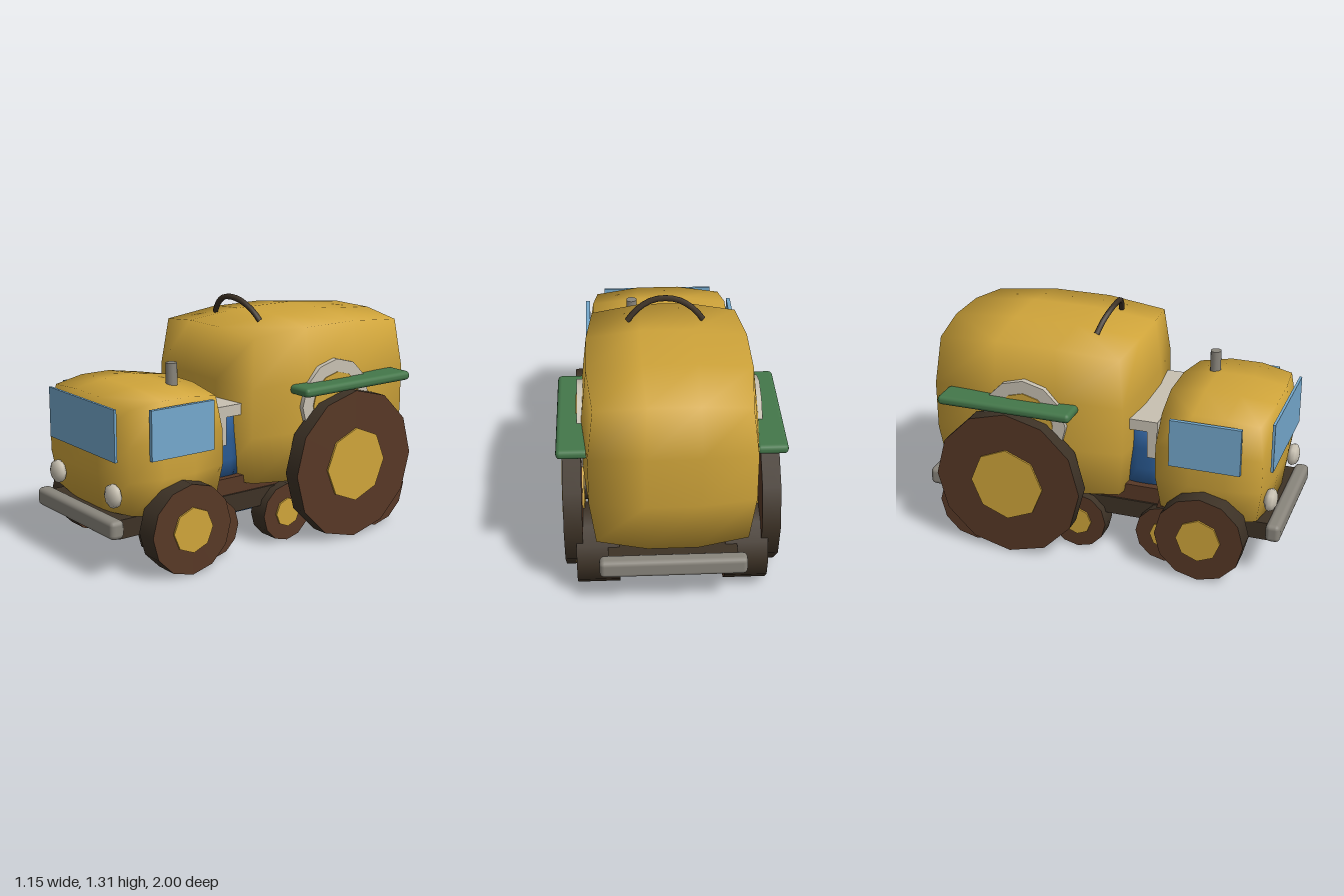
import * as THREE from 'three';
import { mergeVertices } from 'three/addons/utils/BufferGeometryUtils.js';
import { RoundedBoxGeometry } from 'three/addons/geometries/RoundedBoxGeometry.js';

const material = (name, color, side = THREE.FrontSide) => {
  const m = new THREE.MeshStandardMaterial({ color, side });
  m.name = name;
  return m;
};

// Box whose faces swell outward, with smooth normals
function swollenBox(hx, hy, hz, swell) {
  let g = new THREE.BoxGeometry(2, 2, 2, 3, 3, 3);
  g.deleteAttribute('normal');
  g.deleteAttribute('uv');
  g = mergeVertices(g);
  const p = g.attributes.position;
  for (let i = 0; i < p.count; i++) {
    const u = p.getX(i), v = p.getY(i), w = p.getZ(i);
    const push = (a, h, b, c) => a * (h + swell * (2 - b * b - c * c) / 2);
    p.setXYZ(i, push(u, hx, v, w), push(v, hy, u, w), push(w, hz, u, v));
  }
  g.computeVertexNormals();
  return g;
}

export function createModel() {
  const gold = material('gold paint', 0xcfa43a);
  const glass = material('window blue', 0x74a8cc);
  const navy = material('deep blue', 0x2a5a92);
  const brown = material('tyre brown', 0x573826);
  const dark = material('dark rubber', 0x3d3226);
  const cream = material('cream', 0xc8c1b2);
  const grey = material('bumper grey', 0x89857c);
  const green = material('fender green', 0x44774a);

  const model = new THREE.Group();
  const add = (name, geometry, mat, x = 0, y = 0, z = 0, parent = model) => {
    const mesh = new THREE.Mesh(geometry, mat);
    mesh.name = name;
    mesh.position.set(x, y, z);
    parent.add(mesh);
    return mesh;
  };
  const box = (w, h, d) => new THREE.BoxGeometry(w, h, d);
  // Cylinder lying along x
  const disc = (r, width, sides) => new THREE.CylinderGeometry(r, r, width, sides).rotateZ(Math.PI / 2);

  // Bodies
  add('tank', swollenBox(0.387, 0.388, 0.5, 0.07), gold, 0, 0.753, -0.373);
  add('cab', swollenBox(0.36, 0.272, 0.26, 0.058), gold, 0, 0.6, 0.612);

  // Undercarriage
  add('chassis', box(0.66, 0.1, 1.86), dark, 0, 0.26, 0);
  add('deck', box(0.64, 0.1, 0.85), brown, 0, 0.35, -0.05);
  add('underPlate', box(0.51, 0.04, 1.55), navy, 0, 0.195, -0.07);

  // Block and bracket between the bodies
  add('engineBlock', swollenBox(0.27, 0.17, 0.09, 0.02), navy, 0, 0.55, 0.23);
  add('bracketTop', box(0.67, 0.06, 0.155), cream, 0, 0.768, 0.243);
  add('bracketLeg', box(0.67, 0.21, 0.05), cream, 0, 0.693, 0.29);

  // Windows
  add('windscreen', box(0.635, 0.27, 0.014), glass, 0, 0.74, 0.931);

  // Bumpers
  for (const s of [1, -1])
    add(s > 0 ? 'frontBumper' : 'rearBumper', new RoundedBoxGeometry(0.75, 0.098, 0.078, 2, 0.025), grey, 0, 0.273, s * 0.961);

  // Exhaust
  add('exhaust', new THREE.CylinderGeometry(0.03, 0.03, 0.2, 10), grey, 0.165, 0.93, 0.49);

  // Carrying handle
  const arc = [[-0.2, 1.19, -0.062], [-0.15, 1.245, -0.045], [-0.06, 1.292, -0.025],
    [0.06, 1.292, -0.025], [0.15, 1.245, -0.045], [0.2, 1.19, -0.062]].map(a => new THREE.Vector3(...a));
  add('handle', new THREE.TubeGeometry(new THREE.CatmullRomCurve3(arc), 12, 0.016, 6), dark);

  // Wheels: name, z, radius, hub radius, inner x, outer x
  const wheels = [
    ['frontWheel', 0.6, 0.24, 0.12, 0.375, 0.5],
    ['innerFrontWheel', 0.55, 0.24, 0.115, 0.265, 0.36],
    ['secondWheel', 0.38, 0.162, 0.08, 0.265, 0.378],
    ['middleWheel', -0.115, 0.16, 0.08, 0.265, 0.38],
    ['innerRearWheel', -0.67, 0.21, 0.105, 0.27, 0.49],
    ['rearWheel', -0.45, 0.41, 0.204, 0.455, 0.55],
  ];
  for (const s of [1, -1]) {
    const side = s > 0 ? 'left' : 'right';
    for (const [name, z, r, hub, x0, x1] of wheels) {
      const wheel = new THREE.Group();
      wheel.name = `${side} ${name}`;
      wheel.position.set(s * (x0 + x1) / 2, r, z);
      model.add(wheel);
      add('tyre', disc(r, x1 - x0, 12), [dark, brown, brown], 0, 0, 0, wheel);
      add('hub', disc(hub, x1 - x0 + 0.02, 8), gold, 0, 0, 0, wheel);
    }
    // Axle stub of the large wheel
    add(`${side} rearAxle`, disc(0.07, 0.3, 8), dark, s * 0.33, 0.41, -0.45);

    add(`${side} window`, box(0.022, 0.26, 0.38), glass, s * 0.416, 0.74, 0.6);
    const lamp = new THREE.SphereGeometry(0.065, 8, 6).rotateX(Math.PI / 2).scale(1, 1, 0.55);
    add(`${side} headlight`, lamp, cream, s * 0.272, 0.422, 0.925);
    add(`${side} fender`, new RoundedBoxGeometry(0.16, 0.05, 0.745, 2, 0.022), green, s * 0.495, 0.857, -0.453);

    // Round side port with a gold centre
    add(`${side} portRing`, disc(0.235, 0.06, 12), cream, s * 0.441, 0.755, -0.375);
    add(`${side} portCover`, disc(0.165, 0.06, 12), gold, s * 0.447, 0.755, -0.375);
  }
  return model;
}
